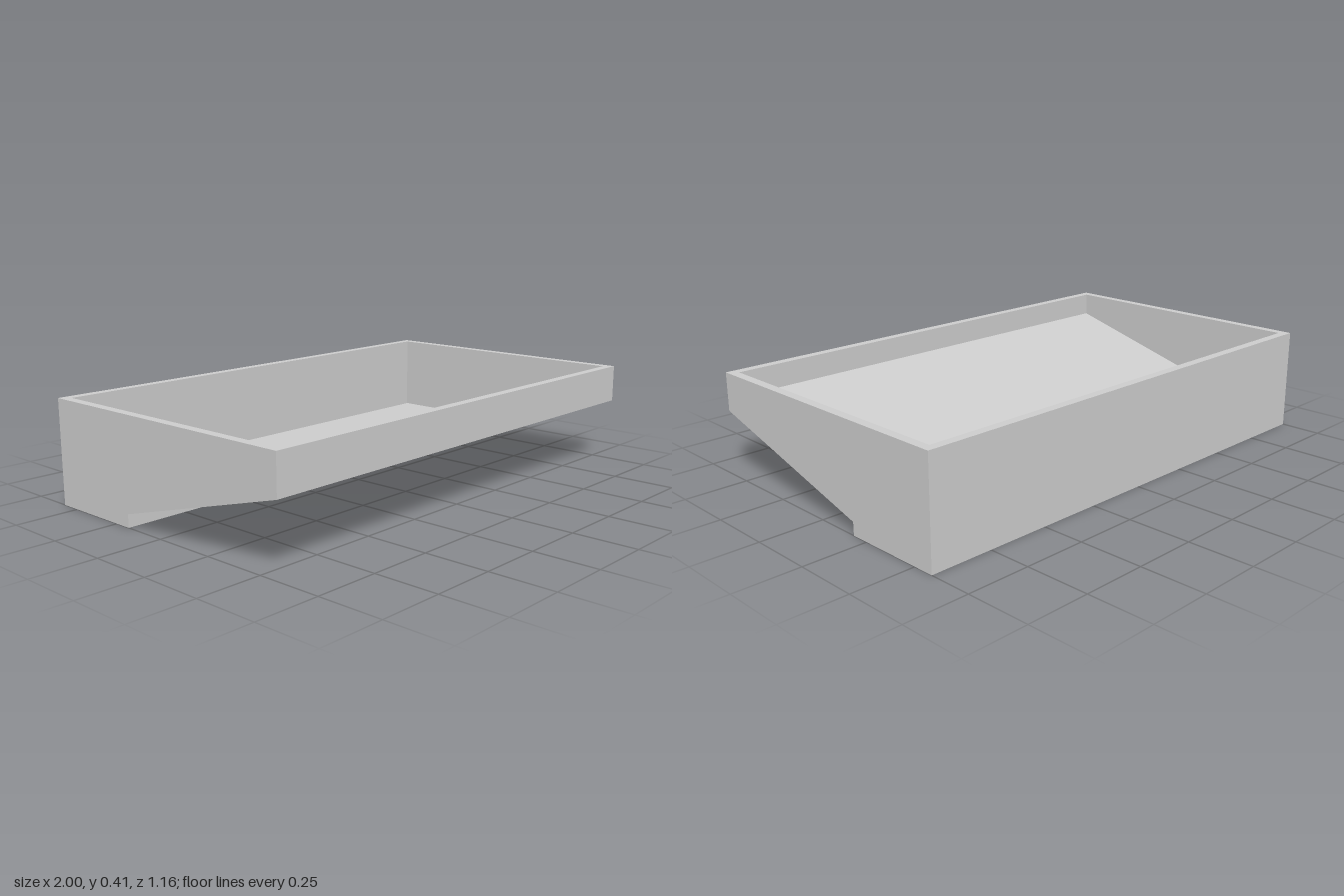
import * as THREE from 'three';

const material = new THREE.MeshStandardMaterial({ color: 0xcccccc, flatShading: true });

const W = 0.035;               // wall thickness
const D = 0.582;               // half depth
const TOP = 0.41;              // rim height
const STEP = -0.18;            // z of the step under the tray
const POCKET = -0.255;         // z of the front edge of the rear pocket
const under = z => 0.05 + 0.275 * (z - STEP);   // lower edge of the slope

// Extrudes a [z, y] profile along x, centred on x = cx
function profile(name, points, width, cx = 0) {
  const shape = new THREE.Shape(points.map(([z, y]) => new THREE.Vector2(z, y)));
  const geo = new THREE.ExtrudeGeometry(shape, { depth: width, bevelEnabled: false });
  geo.rotateY(-Math.PI / 2);
  geo.translate(cx + width / 2, 0, 0);
  const mesh = new THREE.Mesh(geo, material);
  mesh.name = name;
  return mesh;
}

export function createModel() {
  const group = new THREE.Group();
  group.name = 'slopedTray';
  const inner = 2 - 2 * W;

  // Side walls with sloped lower edge and rear foot
  for (const [name, s] of [['leftWall', 1], ['rightWall', -1]]) {
    group.add(profile(name, [
      [-D, 0], [STEP, 0], [STEP, under(STEP)], [D, under(D)], [D, TOP], [-D, TOP],
    ], W, s * (1 - W / 2)));
  }

  // Front wall, sloped floor recessed above the lower rim, and step block
  const f = D - W;
  group.add(profile('frontWallAndSlopedFloor', [
    [POCKET, 0], [STEP, 0], [STEP, under(STEP) + 0.03], [f, under(f) + 0.03],
    [f, under(f)], [D, under(D)], [D, TOP], [f, TOP],
    [f, under(f) + 0.066], [POCKET, under(POCKET) + 0.071],
  ], inner));

  // Back wall
  group.add(profile('backWall', [[-D, 0], [-D + W, 0], [-D + W, TOP], [-D, TOP]], inner));

  // Pocket floor with a round drain hole
  const zb = -D + W, h = inner / 2;
  const floor = new THREE.Shape([
    new THREE.Vector2(-h, -POCKET), new THREE.Vector2(h, -POCKET),
    new THREE.Vector2(h, -zb), new THREE.Vector2(-h, -zb),
  ]);
  floor.holes.push(new THREE.Path().absarc(0, 0.38, 0.073, 0, Math.PI * 2, true));
  const floorGeo = new THREE.ExtrudeGeometry(floor, { depth: W, bevelEnabled: false, curveSegments: 32 });
  floorGeo.rotateX(-Math.PI / 2);
  const pocketFloor = new THREE.Mesh(floorGeo, material);
  pocketFloor.name = 'pocketFloor';
  group.add(pocketFloor);

  // Loose cover plate with a narrow gap all round
  const gap = 0.015;
  const plate = new THREE.Mesh(
    new THREE.BoxGeometry(inner - 2 * gap, 0.035, POCKET - zb - 2 * gap), material);
  plate.position.set(0, 0.0825, (POCKET + zb) / 2);
  plate.name = 'coverPlate';
  group.add(plate);

  return group;
}
